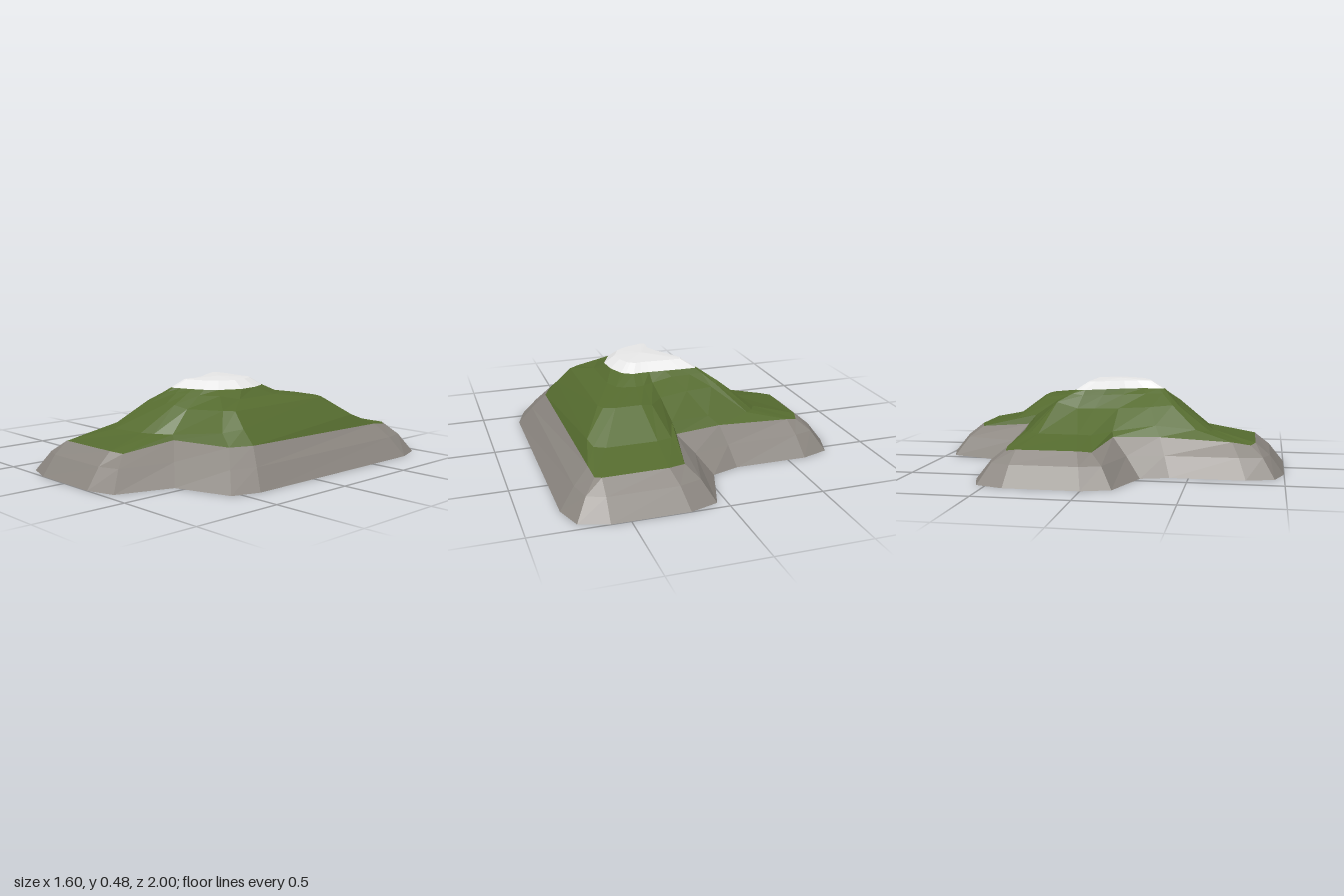
import * as THREE from 'three';

const material = (name, color) => {
  const m = new THREE.MeshStandardMaterial({ color, flatShading: true, side: THREE.DoubleSide });
  m.name = name;
  return m;
};

// Contours run clockwise seen from above, 22 points each: [x, z] or [x, z, y].
const foot = [
  [0.05, -0.95], [0.2, -1], [0.6, -1], [0.75, -0.95], [0.8, -0.8], [0.8, 0.4], [0.75, 0.55], [0.45, 0.65],
  [0.35, 0.95], [0.2, 1], [-0.2, 1], [-0.35, 0.95], [-0.4, 0.8], [-0.4, 0.4], [-0.45, 0.25], [-0.75, 0.15],
  [-0.8, 0], [-0.8, -0.4], [-0.75, -0.55], [-0.6, -0.6], [-0.2, -0.6], [-0.05, -0.65],
];
const cliffTop = [
  [0.17, -0.81, 0.165], [0.26, -0.84, 0.17], [0.6, -0.845, 0.17], [0.63, -0.82, 0.165], [0.638, -0.72, 0.18],
  [0.65, 0.3, 0.195], [0.6, 0.42, 0.195], [0.27, 0.5, 0.195], [0.23, 0.8, 0.16], [0.17, 0.835, 0.17],
  [-0.2, 0.845, 0.17], [-0.235, 0.82, 0.16], [-0.245, 0.72, 0.175], [-0.26, 0.33, 0.195], [-0.3, 0.08, 0.195],
  [-0.6, 0.02, 0.16], [-0.635, -0.05, 0.17], [-0.64, -0.37, 0.17], [-0.62, -0.43, 0.16], [-0.56, -0.44, 0.17],
  [-0.15, -0.46, 0.195], [0.11, -0.505, 0.195],
];
const terrace = [
  [0.17, -0.6, 0.22], [0.25, -0.62, 0.22], [0.52, -0.62, 0.22], [0.58, -0.6, 0.225], [0.6, -0.55, 0.25],
  [0.58, 0.3, 0.27], [0.53, 0.4, 0.255], [0.25, 0.49, 0.22], [0.17, 0.55, 0.22], [0.1, 0.58, 0.22],
  [-0.09, 0.61, 0.22], [-0.15, 0.6, 0.215], [-0.19, 0.52, 0.23], [-0.21, 0.3, 0.25], [-0.26, 0.07, 0.22],
  [-0.36, -0.03, 0.21], [-0.38, -0.1, 0.215], [-0.41, -0.31, 0.22], [-0.38, -0.36, 0.22], [-0.34, -0.39, 0.22],
  [-0.1, -0.42, 0.24], [0.12, -0.46, 0.25],
];
const shoulder = [
  [0.22, -0.43, 0.345], [0.28, -0.44, 0.355], [0.42, -0.44, 0.355], [0.48, -0.42, 0.355], [0.5, -0.38, 0.355],
  [0.5, 0.28, 0.35], [0.45, 0.32, 0.35], [0.24, 0.38, 0.34], [0.16, 0.4, 0.355], [0.1, 0.41, 0.355],
  [-0.02, 0.41, 0.35], [-0.07, 0.42, 0.34], [-0.09, 0.38, 0.35], [-0.11, 0.26, 0.34], [-0.12, 0.08, 0.33],
  [-0.16, -0.05, 0.33], [-0.2, -0.14, 0.335], [-0.22, -0.25, 0.37], [-0.2, -0.27, 0.36], [-0.17, -0.28, 0.35],
  [-0.02, -0.3, 0.35], [0.14, -0.33, 0.34],
];
const snowLine = [
  [0.2, -0.155], [0.24, -0.16], [0.28, -0.14], [0.3, -0.12], [0.335, -0.03], [0.345, 0.08], [0.29, 0.2], [0.23, 0.25],
  [0.17, 0.28], [0.1, 0.305], [0.06, 0.32], [0.035, 0.315], [0.03, 0.29], [0.04, 0.2], [0, 0.1], [-0.06, 0],
  [-0.12, -0.11], [-0.125, -0.145], [-0.115, -0.165], [-0.03, -0.165], [0.06, -0.16], [0.15, -0.155],
];

const toRing = (pts, level = 0) => pts.map(([x, z, y = level]) => new THREE.Vector3(x, y, z));
const blend = (a, b, t) => a.map((p, i) => p.clone().lerp(b[i], t));

// Skin successive contours, lowest first.
function loft(name, rings, mat) {
  const n = rings[0].length, index = [];
  for (let r = 0; r < rings.length - 1; r++) {
    for (let i = 0; i < n; i++) {
      const j = (i + 1) % n;
      const a = r * n + i, b = r * n + j, c = a + n, d = b + n;
      index.push(a, c, b, b, c, d);
    }
  }
  const geo = new THREE.BufferGeometry().setFromPoints(rings.flat());
  geo.setIndex(index);
  const flat = geo.toNonIndexed();
  flat.computeVertexNormals();
  const mesh = new THREE.Mesh(flat, mat);
  mesh.name = name;
  return mesh;
}

export function createModel() {
  const rock = material('rock grey', 0x8b8680);
  const grass = material('grass green', 0x556b2f);
  const snow = material('snow white', 0xe8e8e8);

  const base = toRing(foot, 0), rim = toRing(cliffTop), step = toRing(terrace);
  const ledge = toRing(shoulder), snowEdge = toRing(snowLine, 0.43);

  // Rounded bulge halfway up the cliffs
  const bulge = blend(base, rim, 0.5);
  bulge.forEach((p) => { p.y = 0.105; });

  // Nearly level saddle behind the peak
  const saddle = blend(ledge, snowEdge, 0.7);
  saddle.forEach((p, i) => { if (i < 6 || i === 21) p.y = 0.385; });

  // Snow cap closing on a flat summit
  const peak = snowEdge.map(() => new THREE.Vector3(0.13, 0.48, 0.05));
  const brow = blend(snowEdge, peak, 0.28);
  brow.forEach((p) => { p.y = 0.472; });

  const group = new THREE.Group();
  group.name = 'mountain';
  group.add(
    loft('rockCliffs', [base, bulge, rim], rock),
    loft('grassSlopes', [rim, step, ledge, saddle, snowEdge], grass),
    loft('snowCap', [snowEdge, brow, peak], snow),
  );
  return group;
}
